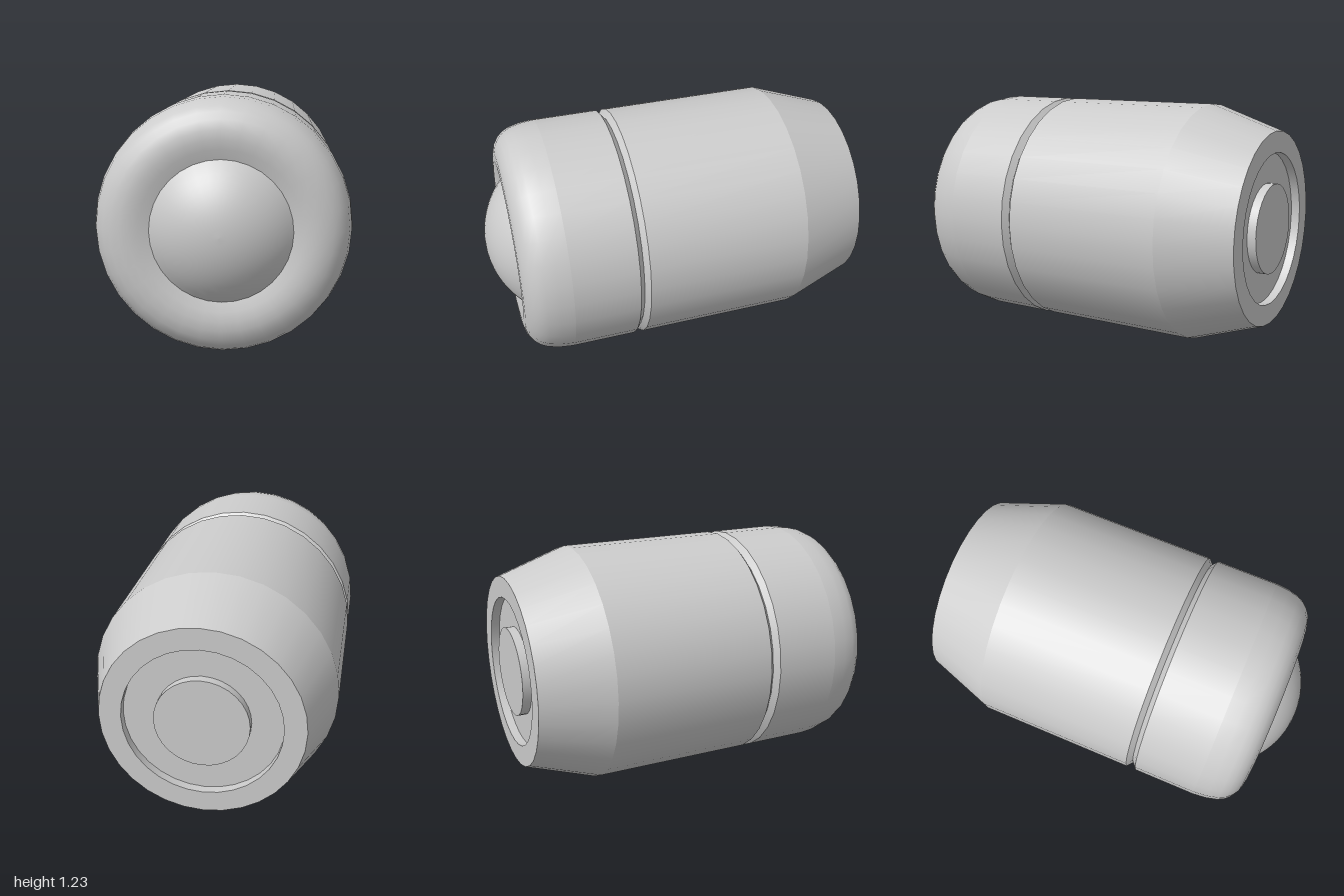
import * as THREE from 'three';

const SIDES = 32;

export function createModel() {
  const model = new THREE.Group();
  const capsule = new THREE.Group();
  capsule.name = 'capsule';
  const material = new THREE.MeshStandardMaterial({ color: 0xcccccc });

  // Each run of [radius, distance along axis] is smooth inside; edges between runs stay sharp.
  function part(name, runs) {
    const group = new THREE.Group();
    group.name = name;
    for (const run of runs) {
      const points = run.map(([r, s]) => new THREE.Vector2(r, s));
      const mesh = new THREE.Mesh(new THREE.LatheGeometry(points, SIDES), material);
      mesh.name = name + 'Surface';
      group.add(mesh);
    }
    capsule.add(group);
  }
  // Turns a corner list into one sharp-edged run per straight section.
  const sharp = (corners) => corners.slice(1).map((c, i) => [corners[i], c]);

  // Rear end: raised centre boss, recessed ring and flat rim
  part('rearBoss', sharp([[0, -0.92], [0.23, -0.92], [0.23, -0.875]]));
  part('rearRecess', sharp([[0.23, -0.875], [0.387, -0.875], [0.387, -0.92]]));
  part('rearRim', sharp([[0.387, -0.92], [0.495, -0.92]]));

  // Tapered tail and straight barrel
  part('barrel', sharp([[0.495, -0.92], [0.615, -0.565], [0.615, 0.274]]));

  // V-shaped groove between barrel and front cap
  part('groove', sharp([[0.615, 0.274], [0.585, 0.3], [0.615, 0.326]]));

  // Front cap: straight band, rounded shoulder, slightly dished face
  part('frontCap', [
    [[0.615, 0.326], [0.615, 0.66]],
    [[0.615, 0.66], [0.608, 0.73], [0.593, 0.79], [0.575, 0.825], [0.55, 0.853],
      [0.515, 0.876], [0.47, 0.889], [0.425, 0.891], [0.38, 0.883], [0.333, 0.869]],
  ]);

  // Front dome: spherical cap
  const baseRadius = 0.333, height = 0.14;
  const R = (baseRadius ** 2 + height ** 2) / (2 * height);
  const halfAngle = Math.asin(baseRadius / R);
  const dome = [];
  for (let i = 0; i <= 10; i++) {
    const a = halfAngle * (1 - i / 10);
    dome.push([R * Math.sin(a), 0.869 + height - R * (1 - Math.cos(a))]);
  }
  part('frontDome', [dome]);

  // Lay the axis flat and turn it diagonally
  capsule.rotation.set(Math.PI / 2, 0, 0);
  const turn = new THREE.Group();
  turn.name = 'body';
  turn.rotation.y = -Math.PI / 4;
  turn.position.y = 0.615;
  turn.add(capsule);
  model.add(turn);
  return model;
}
